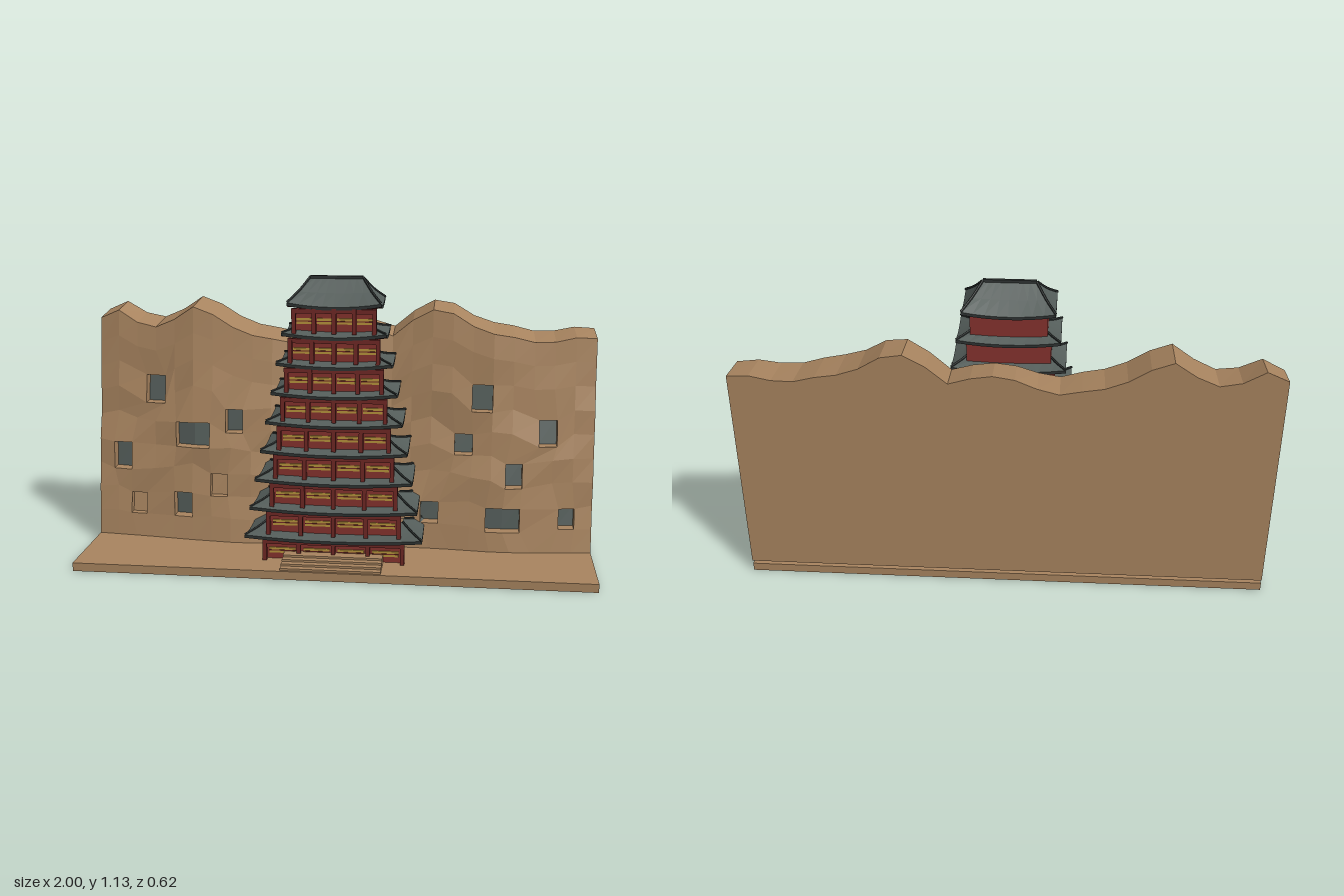
import * as THREE from 'three';

const mat = (name, color, double) => {
  const m = new THREE.MeshStandardMaterial({ color, flatShading: true });
  m.name = name;
  if (double) m.side = THREE.DoubleSide;
  return m;
};
const rock = mat('sandstone', 0xa98560, true);
const slate = mat('slate', 0x545d5a, true);
const dark = mat('dark trim', 0x2e3332);
const red = mat('red wall', 0x87332e);
const deepRed = mat('deep red timber', 0x702825);
const gold = mat('gold lattice', 0xb8953c);

const TIERS = 9, PITCH = 0.112, GROUND = 0.033, CZ = 0.058;

function add(group, name, geo, material, x = 0, y = 0, z = 0) {
  const m = new THREE.Mesh(geo, material);
  m.name = name;
  m.position.set(x, y, z);
  group.add(m);
  return m;
}

// box given by its minimum and maximum in each axis
function box(group, name, material, x0, x1, y0, y1, z0, z1) {
  return add(group, name, new THREE.BoxGeometry(x1 - x0, y1 - y0, z1 - z0), material,
    (x0 + x1) / 2, (y0 + y1) / 2, (z0 + z1) / 2);
}

// geometry from a list of quads [a, b, c, d], counter-clockwise from outside
function quads(list) {
  const pts = list.flatMap(([a, b, c, d]) => [a, b, c, a, c, d]);
  const g = new THREE.BufferGeometry().setFromPoints(pts);
  g.computeVertexNormals();
  return g;
}

// piecewise linear table of [x, value]
function table(rows, x) {
  for (let i = 1; i < rows.length; i++) {
    const [x0, a] = rows[i - 1], [x1, b] = rows[i];
    if (x <= x1) return a + (b - a) * (x - x0) / (x1 - x0);
  }
  return rows[rows.length - 1][1];
}

const RIDGE = [[-1, 0.93], [-0.92, 0.965], [-0.8, 0.895], [-0.72, 0.91], [-0.6, 0.99], [-0.52, 0.96],
  [-0.4, 0.885], [-0.28, 0.865], [-0.18, 0.845], [0, 0.92], [0.1, 0.91], [0.2, 0.88], [0.32, 0.98],
  [0.4, 1.0], [0.48, 0.955], [0.55, 0.91], [0.68, 0.89], [0.8, 0.86], [0.9, 0.89], [1, 0.885]];
const FOOT = [[-1, -0.045], [-0.8, -0.025], [-0.6, 0], [-0.4, 0.018], [0, -0.01], [0.4, -0.005],
  [0.64, 0.015], [0.8, 0], [1, -0.02]];
const BROW = [[-1, -0.19], [-0.8, -0.15], [-0.6, -0.125], [-0.3, -0.125], [0, -0.175], [0.25, -0.165],
  [0.45, -0.135], [0.6, -0.115], [0.8, -0.135], [1, -0.163]];
// niches: centre x, centre y, width, height, cells wide, open (grey back)
const NICHES = [[-0.76, 0.635, 0.08, 0.11, 1, 1], [-0.6, 0.46, 0.14, 0.1, 2, 1], [-0.43, 0.52, 0.07, 0.095, 1, 1],
  [-0.9, 0.36, 0.075, 0.11, 1, 1], [-0.49, 0.26, 0.07, 0.09, 1, 0], [-0.83, 0.168, 0.065, 0.085, 1, 0],
  [-0.64, 0.175, 0.075, 0.1, 1, 1], [0.56, 0.633, 0.08, 0.105, 1, 1], [0.49, 0.45, 0.07, 0.08, 1, 1],
  [0.82, 0.5, 0.07, 0.1, 1, 1], [0.69, 0.333, 0.065, 0.095, 1, 1], [0.36, 0.178, 0.07, 0.085, 1, 1],
  [0.65, 0.158, 0.134, 0.095, 2, 1], [0.9, 0.165, 0.062, 0.08, 1, 1]];

function buildCliff(group) {
  const NX = 25, NY = 9, BACK = -0.31;
  const V = (x, y, z) => new THREE.Vector3(x, y, z);
  const top = x => table(RIDGE, x) - 0.018;
  const faceZ = (x, y) => {
    const t = Math.min(1, (y - GROUND) / (top(x) - GROUND));
    const bump = 0.013 * Math.sin(9 * x + 8 * y) * Math.sin(17 * y + 5 * x) * Math.sin(Math.PI * t);
    return THREE.MathUtils.lerp(table(FOOT, x), table(BROW, x), t) + bump;
  };
  const P = [];
  for (let j = 0; j <= NY; j++) {
    P.push([]);
    for (let i = 0; i <= NX; i++) {
      const x = -1 + 2 * i / NX, y = GROUND + (top(x) - GROUND) * j / NY;
      P[j].push(V(x, y, faceZ(x, y)));
    }
  }
  // fit the nearest grid cells to each niche
  const holes = new Map();
  for (const [cx, cy, w, h, n, open] of NICHES) {
    const x0 = cx - w / 2, y0 = cy - h / 2;
    const k = Math.round((x0 + 1) * NX / 2);
    const j = Math.round((y0 - GROUND) / (top(x0) - GROUND) * NY);
    for (let a = 0; a <= n; a++) for (let b = 0; b < 2; b++) {
      const x = x0 + w * a / n, y = y0 + h * b;
      P[j + b][k + a].set(x, y, faceZ(x, y));
    }
    for (let a = 0; a < n; a++) holes.set(j * 100 + k + a, { open, first: a === 0, last: a === n - 1 });
  }
  const stone = [], grey = [];
  for (let j = 0; j < NY; j++) for (let i = 0; i < NX; i++) {
    const c = [P[j][i], P[j][i + 1], P[j + 1][i + 1], P[j + 1][i]];
    const hole = holes.get(j * 100 + i);
    if (!hole) { stone.push(c); continue; }
    const d = c.map(p => p.clone().add(V(0, 0, hole.open ? -0.05 : -0.03)));
    (hole.open ? grey : stone).push(d);
    for (let e = 0; e < 4; e++) {
      if ((e === 1 && !hole.last) || (e === 3 && !hole.first)) continue;
      const f = (e + 1) % 4;
      stone.push([c[e], c[f], d[f], d[e]]);
    }
  }
  // top, back and underside
  const backTop = p => V(p.x, table(RIDGE, p.x), BACK), backLow = p => V(p.x, 0.05, BACK);
  for (let i = 0; i < NX; i++) {
    const a = P[NY][i], b = P[NY][i + 1], f0 = P[0][i], f1 = P[0][i + 1];
    stone.push([a, b, backTop(b), backTop(a)]);
    stone.push([backLow(b), backLow(a), backTop(a), backTop(b)]);
    stone.push([backLow(a), backLow(b), f1, f0]);
  }
  // end walls
  for (let j = 0; j < NY; j++) for (const i of [0, NX]) {
    const at = jj => V(P[jj][i].x, THREE.MathUtils.lerp(0.05, table(RIDGE, P[0][i].x), jj / NY), BACK);
    const q = [P[j][i], at(j), at(j + 1), P[j + 1][i]];
    stone.push(i ? q : q.reverse());
  }
  add(group, 'cliff', quads(stone), rock);
  add(group, 'caveBacks', quads(grey), slate);
}

// rectangular ring whose corners sweep up by lift
function ring(hx, hz, y, lift) {
  const N = 8, pts = [];
  const corners = [[-1, 1], [1, 1], [1, -1], [-1, -1]];
  for (let c = 0; c < 4; c++) for (let k = 0; k < N; k++) {
    const [ax, az] = corners[c], [bx, bz] = corners[(c + 1) % 4], t = k / N, s = 2 * t - 1;
    pts.push(new THREE.Vector3(hx * (ax + (bx - ax) * t), y + lift * s * s, hz * (az + (bz - az) * t)));
  }
  return pts;
}

function loft(rings) {
  const list = [];
  for (let r = 1; r < rings.length; r++) rings[r].forEach((p, i) => {
    const n = (i + 1) % rings[r].length;
    list.push([rings[r - 1][i], rings[r - 1][n], rings[r][n], p]);
  });
  return quads(list);
}

function buildRoof(i) {
  const g = new THREE.Group();
  g.name = 'roof';
  const last = i === TIERS - 1;
  const hx = 0.342 - 0.0207 * i, hz = 0.155 - 0.0067 * i;
  const topX = last ? 0.1 : hx - 0.08, topZ = last ? 0.001 : 0.022, rise = last ? 0.1 : 0.044;
  const midX = (hx + topX) / 2, midZ = (hz + topZ) / 2;
  const low = ring(hx, hz, 0, 0.015), edge = ring(hx, hz, 0.012, 0.015);
  add(g, 'eaveUnderside', loft([ring(hx * 0.72, hz * 0.6, 0, 0), low]), deepRed);
  add(g, 'eaveEdge', loft([low, edge]), dark);
  add(g, 'roofTiles', loft([edge, ring(midX, midZ, 0.012 + rise * 0.46, 0.005),
    ring(topX, topZ, 0.012 + rise, 0)]), slate);
  // hip ridges
  for (const sx of [-1, 1]) for (const sz of [-1, 1]) {
    const path = new THREE.CatmullRomCurve3([[hx, 0.028, hz], [midX, 0.018 + rise * 0.46, midZ], [topX, 0.013 + rise, topZ]]
      .map(([x, y, z]) => new THREE.Vector3(sx * x, y, sz * z)));
    add(g, 'hipRidge', new THREE.TubeGeometry(path, 6, 0.005, 6), dark);
  }
  if (last) box(g, 'topRidge', dark, -topX, topX, rise + 0.006, rise + 0.018, -0.006, 0.006);
  g.position.set(0, 0.112 + PITCH * i, CZ);
  return g;
}

function buildTier(i) {
  const g = new THREE.Group();
  g.name = 'pagodaTier';
  const y = GROUND + PITCH * i - (i ? 0.01 : 0), eave = 0.114 + PITCH * i;
  const hw = 0.262 - 0.0145 * i, front = 0.17 - 0.0047 * i, back = -0.03 + 0.002 * i;
  box(g, 'wall', red, -hw, hw, y, eave, back, front);
  // veranda posts and lintel
  const postZ = front + 0.02, span = hw + 0.005;
  for (let k = 0; k < 5; k++) {
    const x = -span + span * k / 2;
    box(g, 'post', deepRed, x - 0.008, x + 0.008, y, eave + 0.004, postZ - 0.008, postZ + 0.008);
  }
  box(g, 'lintel', deepRed, -span, span, eave - 0.014, eave + 0.003, postZ - 0.006, postZ + 0.006);
  // lattice panels between the posts
  const mid = 0.068 + PITCH * i;
  for (let k = 0; k < 4; k++) {
    const x = -span + span * (k + 0.5) / 2, w = span * 0.19;
    box(g, 'lattice', gold, x - w, x + w, mid - 0.011, mid + 0.011, front, front + 0.005);
    box(g, 'latticeBar', deepRed, x - w, x + w, mid - 0.002, mid + 0.002, front, front + 0.007);
  }
  g.add(buildRoof(i));
  return g;
}

export function createModel() {
  const model = new THREE.Group();
  model.name = 'cliffPagoda';
  box(model, 'ground', rock, -1, 1, 0, GROUND, -0.305, 0.31);
  buildCliff(model);
  for (let i = 0; i < TIERS; i++) model.add(buildTier(i));
  // entrance stairs
  for (let s = 0; s < 4; s++) {
    box(model, 'step', rock, -0.192, 0.192, GROUND, GROUND + 0.008 * (s + 1), 0.165, 0.3 - 0.027 * s);
  }
  return model;
}
